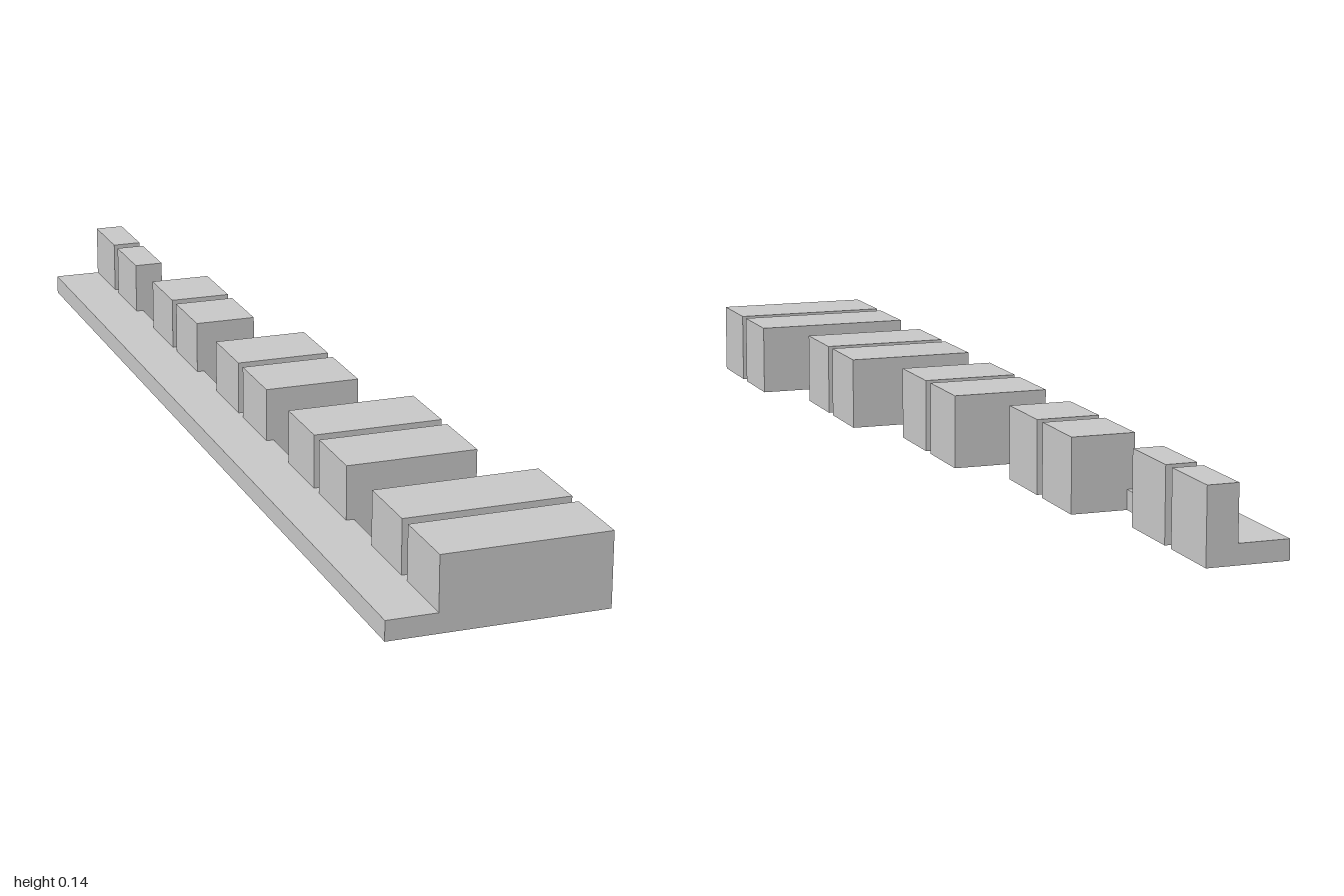
import * as THREE from 'three';

const grey = new THREE.MeshStandardMaterial({ name: 'lightGrey', color: 0xc8c8c8 });

// Box given by its x, y and z limits
function box(name, [x0, x1], [y0, y1], [z0, z1]) {
  const mesh = new THREE.Mesh(new THREE.BoxGeometry(x1 - x0, y1 - y0, z1 - z0), grey);
  mesh.name = name;
  mesh.position.set((x0 + x1) / 2, (y0 + y1) / 2, (z0 + z1) / 2);
  return mesh;
}

export function createModel() {
  const model = new THREE.Group();
  model.name = 'steppedBlockRow';

  // Long thin strip joining all the blocks
  model.add(box('baseStrip', [-0.2, -0.093], [0, 0.037], [-1, 1]));

  // Five pairs of blocks, growing longer toward the front
  const depth = 0.138, pairPitch = 0.4245, halfPitch = 0.082;
  for (let i = 0; i < 5; i++) {
    const pair = new THREE.Group();
    pair.name = `blockPair${i + 1}`;
    const end = 0.2 - i * 0.0625;
    for (const side of [1, -1]) {
      const z = (2 - i) * pairPitch + side * halfPitch;
      const name = side > 0 ? 'frontBlock' : 'backBlock';
      pair.add(box(name, [-0.107, end], [0, 0.138], [z - depth / 2, z + depth / 2]));
    }
    model.add(pair);
  }
  return model;
}
